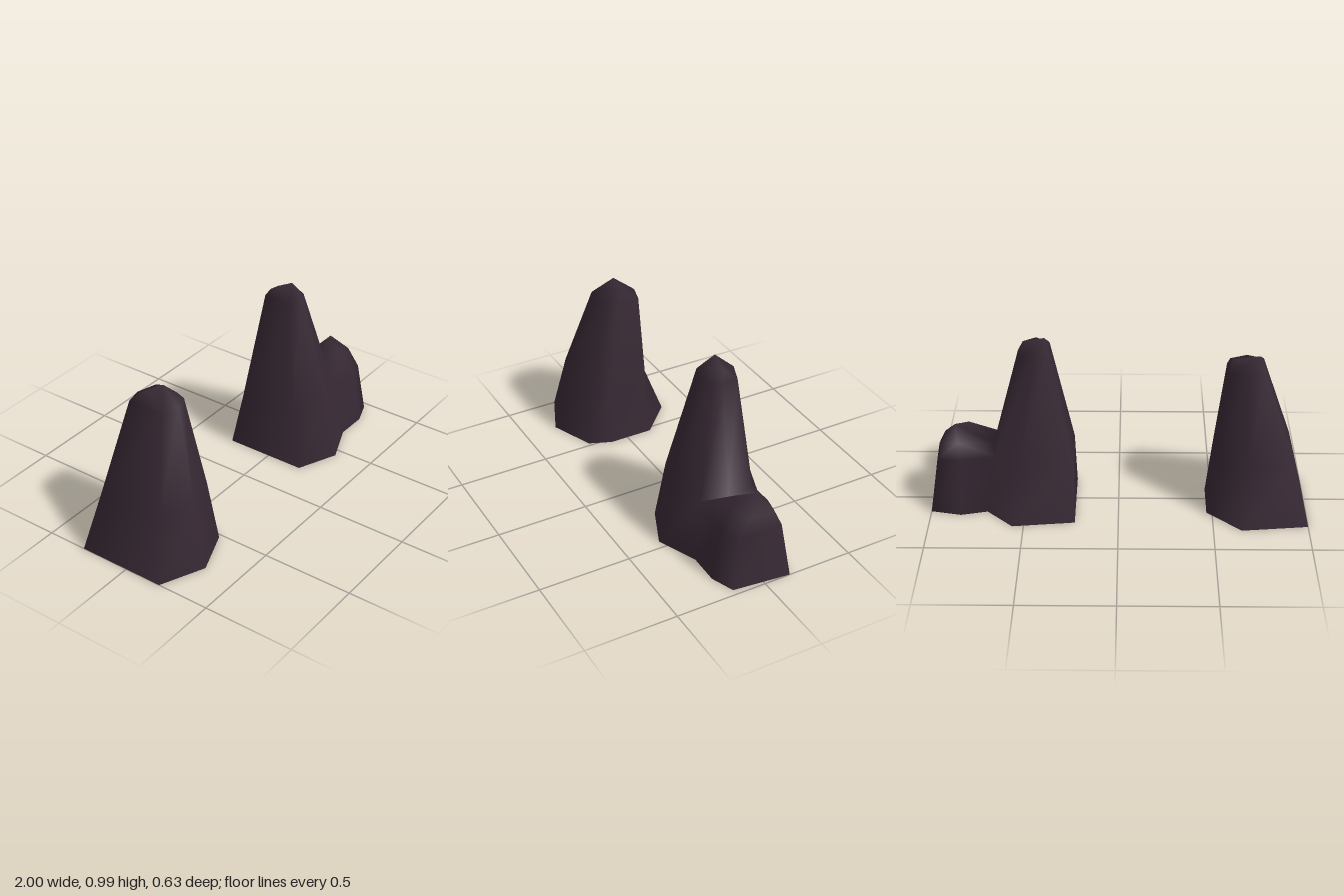
import * as THREE from 'three';
import { mergeGeometries, mergeVertices } from 'three/addons/utils/BufferGeometryUtils.js';

// Skins a stack of rings (listed clockwise from above), leaving out the quads that skip() names,
// and closes the last ring with a fan.
function loft(rings, closed, skip = () => false) {
  const n = rings[0].length;
  const index = [];
  for (let r = 0; r < rings.length - 1; r++) {
    for (let i = 0; i < (closed ? n : n - 1); i++) {
      if (skip(r, i)) continue;
      const j = (i + 1) % n;
      const a = r * n + i, b = r * n + j, c = a + n, d = b + n;
      index.push(a, c, b, b, c, d);
    }
  }
  const top = (rings.length - 1) * n;
  for (let k = 1; k < n - 1; k++) index.push(top, top + k + 1, top + k);
  const geometry = new THREE.BufferGeometry();
  geometry.setAttribute('position', new THREE.Float32BufferAttribute(rings.flat(2), 3));
  geometry.setIndex(index);
  return geometry;
}

// Welds the pieces together and smooths the normals.
function weld(pieces) {
  const geometry = mergeVertices(mergeGeometries(pieces), 1e-4);
  geometry.computeVertexNormals();
  return geometry;
}

// Each ring goes back left, back, back right, right, front right, front, front left.
function singleRock() {
  const L = [-0.725, 0.89, -0.06], R = [-0.6, 0.865, -0.05];
  return loft([
    [[-1, 0, -0.28], [-0.65, 0, -0.32], [-0.47, 0, -0.145], [-0.47, 0, 0.1], [-0.52, 0, 0.22], [-0.76, 0, 0.315], [-1, 0, 0.21]],
    [[-0.92, 0.33, -0.21], [-0.68, 0.33, -0.2], [-0.51, 0.33, -0.14], [-0.507, 0.33, 0.08], [-0.55, 0.34, 0.17], [-0.76, 0.36, 0.25], [-0.92, 0.33, 0.16]],
    [[-0.755, 0.82, -0.14], [-0.67, 0.82, -0.16], [-0.565, 0.82, -0.13], [-0.56, 0.82, 0], [-0.58, 0.82, 0.06], [-0.67, 0.82, 0.1], [-0.755, 0.82, 0.06]],
    [L, L, R, R, R, R, L],
  ], true);
}

function twinRock() {
  // Corners shared by the tall and the short spire
  const backFoot = [0.7, 0, -0.145], frontFoot = [0.67, 0, 0.21];
  const back = [0.65, 0.33, -0.13], saddle = [0.67, 0.325, 0.02], front = [0.625, 0.32, 0.16];

  const L = [0.38, 0.985, -0.055], R = [0.49, 0.96, -0.04];
  const tall = loft([
    [[0.23, 0, -0.25], [0.56, 0, -0.29], backFoot, [0.7, 0, 0.05], frontFoot, [0.45, 0, 0.3], [0.23, 0, 0.205]],
    [[0.235, 0.31, -0.18], [0.52, 0.33, -0.195], back, saddle, front, [0.45, 0.36, 0.235], [0.24, 0.31, 0.145]],
    [[0.358, 0.92, -0.12], [0.43, 0.92, -0.135], [0.51, 0.9, -0.11], [0.518, 0.9, -0.02], [0.5, 0.91, 0.03], [0.43, 0.93, 0.07], [0.358, 0.92, 0.035]],
    [L, L, R, R, R, R, L],
  ], true, (r, i) => r === 0 && (i === 2 || i === 3));

  const P = [0.865, 0.465, -0.02], Q = [0.8, 0.437, 0.06];
  const short = loft([
    [backFoot, [0.84, 0, -0.18], [1, 0, -0.145], [0.965, 0, 0.165], [0.84, 0, 0.212], frontFoot],
    [back, [0.84, 0.31, -0.135], [0.957, 0.3, -0.11], [0.94, 0.28, 0.125], [0.835, 0.28, 0.17], front],
    [back, [0.85, 0.39, -0.09], [0.945, 0.38, -0.07], [0.93, 0.38, 0.06], [0.83, 0.4, 0.1], front],
    [saddle, P, P, P, Q, saddle],
  ], false);
  return [tall, short];
}

export function createModel() {
  const group = new THREE.Group();
  const stone = new THREE.MeshStandardMaterial({ color: 0x362833, side: THREE.DoubleSide });
  stone.name = 'darkStone';

  const add = (name, pieces) => {
    const mesh = new THREE.Mesh(weld(pieces), stone);
    mesh.name = name;
    group.add(mesh);
  };
  add('singleRock', [singleRock()]);
  add('twinRock', twinRock());
  return group;
}
